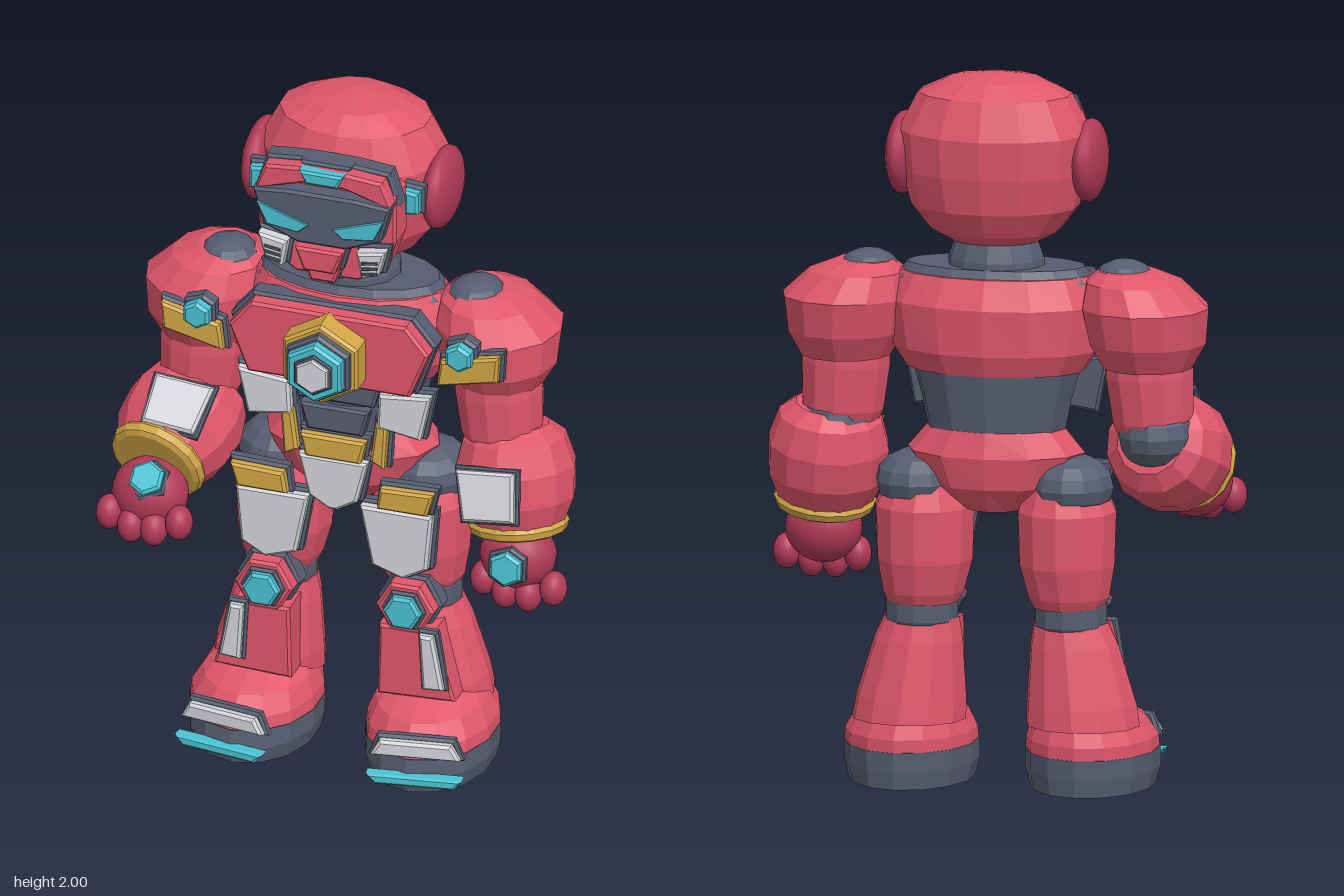
import * as THREE from 'three';

const mat = (name, color) => Object.assign(new THREE.MeshStandardMaterial({ color }), { name });
const red = mat('red', 0xe0566a), crimson = mat('crimson', 0xb23a58), slate = mat('slate', 0x565d70);
const white = mat('white', 0xd3d5d9), gold = mat('gold', 0xd2a746), cyan = mat('cyan', 0x4bc2d2);
const V = (x, y, z) => new THREE.Vector3(x, y, z);

export function createModel() {
  const root = new THREE.Group();
  root.name = 'robot';

  const add = (name, geo, material, parent = root) => {
    const mesh = new THREE.Mesh(geo, material);
    mesh.name = name;
    parent.add(mesh);
    return mesh;
  };
  const facet = (geo) => {
    const g = geo.index ? geo.toNonIndexed() : geo;
    g.computeVertexNormals();
    return g;
  };
  // Faceted body through rings [y, rx, rz, cx, cz], listed bottom to top and capped
  const loftGeo = (rings, sides) => {
    const last = rings.length - 1;
    const pts = [new THREE.Vector2(0, 0), ...rings.map((_, i) => new THREE.Vector2(1, i)), new THREE.Vector2(0, last)];
    const geo = new THREE.LatheGeometry(pts, sides), p = geo.attributes.position;
    for (let i = 0; i < p.count; i++) {
      const [y, rx, rz, cx = 0, cz = 0] = rings[Math.round(p.getY(i))];
      p.setXYZ(i, p.getX(i) * rx + cx, y, p.getZ(i) * rz + cz);
    }
    return facet(geo);
  };
  const loft = (name, rings, material, sides = 12) => add(name, loftGeo(rings, sides), material);
  // Faceted limb between two points, profile of [t, radius]
  const limb = (name, a, b, profile, material, sides = 12) => {
    const dir = b.clone().sub(a), len = dir.length();
    const mesh = add(name, loftGeo(profile.map(([t, r]) => [t * len, r, r]), sides), material);
    mesh.position.copy(a);
    mesh.quaternion.setFromUnitVectors(V(0, 1, 0), dir.normalize());
    return mesh;
  };
  const ball = (name, c, r, material, flat = false) => {
    let geo = new THREE.SphereGeometry(1, flat ? 12 : 20, flat ? 8 : 14);
    geo.scale(r.x, r.y, r.z);
    if (flat) geo = facet(geo);
    add(name, geo, material).position.copy(c);
  };
  // Bevelled armour plate facing +z from z to z + d, with an optional slate rim behind it
  const plate = (name, pts, z, d, material, rim = false, parent = root) => {
    const build = (points, depth, z0) => {
      const b = Math.min(0.008, depth / 4);
      const geo = new THREE.ExtrudeGeometry(new THREE.Shape(points.map(([x, y]) => new THREE.Vector2(x, y))),
        { depth: depth - 2 * b, bevelThickness: b, bevelSize: b, bevelOffset: -b, bevelSegments: 1 });
      return facet(geo.translate(0, 0, z0 + b));
    };
    add(name, build(pts, d, z), material, parent);
    if (rim) {
      const n = pts.length;
      const cx = pts.reduce((s, p) => s + p[0], 0) / n, cy = pts.reduce((s, p) => s + p[1], 0) / n;
      const grown = pts.map(([x, y]) => [x + Math.sign(x - cx) * 0.009, y + Math.sign(y - cy) * 0.009]);
      add(name + 'Rim', build(grown, d * 0.7, z - d * 0.2), slate, parent);
    }
  };
  const both = (half) => [...half, ...half.map(([x, y]) => [-x, y]).reverse()];
  const hex = (r, cx = 0, cy = 0, turn = 0) => Array.from({ length: 6 }, (_, i) => {
    const a = i * Math.PI / 3 + turn;
    return [cx + r * Math.cos(a), cy + r * Math.sin(a)];
  });
  const facing = (name, c, normal) => {
    const g = new THREE.Group();
    g.name = name;
    g.position.copy(c);
    g.lookAt(c.clone().add(normal));
    root.add(g);
    return g;
  };

  // Head and neck
  loft('head', [[1.53, .12, .1, 0, -.11], [1.56, .18, .145, 0, -.11], [1.63, .235, .18, 0, -.115], [1.73, .262, .197, 0, -.118],
    [1.84, .27, .203, 0, -.12], [1.945, .215, .165, 0, -.12], [1.985, .13, .11, 0, -.12], [2, .03, .03, 0, -.12]], red, 14);
  loft('neck', [[1.42, .14, .125, 0, -.1], [1.48, .135, .122, 0, -.1], [1.55, .11, .1, 0, -.1]], slate);

  // Face
  plate('faceFrame', both([[.13, 1.87], [.2, 1.83], [.2, 1.69], [.17, 1.6], [.09, 1.55]]), .03, .1, red);
  plate('visor', both([[.1, 1.83], [.2, 1.82], [.17, 1.71], [.07, 1.67]]), .12, .06, slate);
  plate('brow', both([[.06, 1.85], [.2, 1.81], [.17, 1.89], [.06, 1.9]]), .08, .085, red, true);
  plate('foreheadGem', both([[.045, 1.86], [.065, 1.9]]), .1, .085, cyan, true);
  plate('noseGuard', both([[.045, 1.6], [.07, 1.67]]), .11, .095, red, true);
  plate('chin', both([[.035, 1.555], [.05, 1.605]]), .09, .085, red, true);
  for (const s of [1, -1]) {
    const m = (pts) => pts.map(([x, y]) => [x * s, y]);
    plate('eye', m([[.035, 1.735], [.185, 1.785], [.155, 1.72], [.065, 1.708]]), .18, .009, cyan);
    plate('cheekGrille', m([[.1, 1.665], [.185, 1.68], [.165, 1.605], [.115, 1.585]]), .11, .07, white, true);
    for (let i = 0; i < 3; i++)
      plate('grilleSlot', m([[.117, 1.643 - i * .017], [.165, 1.65 - i * .017], [.163, 1.641 - i * .017], [.117, 1.634 - i * .017]]), .178, .006, slate);
    plate('templeLight', m([[.205, 1.75], [.245, 1.755], [.245, 1.82], [.205, 1.825]]), .02, .055, cyan, true);
    ball('ear', V(s * .262, 1.76, -.095), V(.047, .115, .13), crimson);
  }

  // Torso
  loft('collar', [[1.42, .28, .15, 0, -.1], [1.462, .25, .125, 0, -.1]], slate, 16);
  loft('chest', [[1.17, .25, .16, 0, -.1], [1.23, .29, .185, 0, -.1], [1.36, .31, .19, 0, -.1], [1.44, .27, .15, 0, -.1]], red, 14);
  loft('waist', [[.98, .19, .14, 0, -.1], [1.08, .21, .15, 0, -.1], [1.19, .24, .162, 0, -.1]], slate);
  loft('pelvis', [[.78, .09, .1, 0, -.1], [.85, .2, .15, 0, -.1], [.94, .25, .165, 0, -.1], [1.01, .19, .145, 0, -.1]], red);
  plate('chestPlate', both([[.235, 1.2], [.29, 1.34], [.225, 1.42]]), .03, .09, red, true);
  plate('abdomenPlate', both([[.08, 1.02], [.1, 1.1]]), 0, .07, slate);
  plate('abdomenUpperPlate', both([[.11, 1.11], [.13, 1.18]]), 0, .06, slate);
  plate('beltPlate', both([[.08, .94], [.095, 1.01]]), .03, .055, gold, true);
  plate('crotchPlate', both([[.012, .785], [.07, .82], [.1, .945]]), .03, .055, white, true);

  // Chest emblem, a stack of hexagons
  [['emblemRing', .125, .1, .09, gold], ['emblemBase', .105, .18, .035, slate], ['emblemGem', .09, .2, .045, cyan],
    ['emblemInner', .063, .24, .012, slate], ['emblemCore', .053, .245, .018, white]]
    .forEach(([name, r, z, d, m]) => plate(name, hex(r, 0, 1.3, Math.PI / 6), z, d, m));

  for (const s of [1, -1]) {
    const m = (pts) => pts.map(([x, y]) => [x * s, y]);
    // Torso side armour
    plate('ribPlate', m([[.13, 1.165], [.28, 1.18], [.25, 1.04], [.125, 1.06]]), .02, .055, white, true);
    plate('beltStrap', m([[.12, 1.07], [.155, 1.07], [.145, .93], [.105, .95]]), .02, .055, gold, true);

    // Shoulder and upper arm
    const x = s * .42;
    loft('shoulder', [[1.19, .125, .13, s * .425, -.1], [1.26, .165, .17, s * .425, -.1], [1.36, .18, .18, s * .42, -.11],
      [1.43, .135, .14, s * .39, -.11], [1.46, .08, .085, s * .37, -.11]], red);
    ball('shoulderCap', V(s * .36, 1.43, -.1), V(.085, .058, .09), slate, true);
    plate('shoulderPlate', m([[.31, 1.245], [.485, 1.285], [.49, 1.365], [.32, 1.325]]), .06, .05, gold, true);
    plate('shoulderGem', hex(.042, s * .38, 1.355, Math.PI / 6), .07, .065, cyan, true);
    limb('upperArm', V(s * .44, 1, -.085), V(x, 1.28, -.09), [[0, .1], [.15, .115], [.6, .125], [1, .12]], red);
    ball('elbow', V(s * .45, 1.0, -.1), V(.108, .1, .108), slate, true);

    // Hip and thigh
    ball('hipJoint', V(s * .215, .85, -.12), V(.12, .09, .125), slate, true);
    loft('thigh', [[.51, .1, .1, s * .205, -.11], [.54, .115, .115, s * .205, -.11], [.63, .135, .138, s * .2, -.11],
      [.78, .14, .142, s * .2, -.11], [.85, .11, .115, s * .195, -.11]], red);
    plate('hipPlate', m([[.13, .815], [.275, .815], [.295, .885], [.14, .88]]), .04, .055, gold, true);
    plate('thighPlate', m([[.075, .805], [.285, .805], [.27, .635], [.2, .595], [.11, .625]]), .02, .055, white, true);

    // Knee and shin
    loft('kneeJoint', [[.44, .09, .09, s * .21, -.105], [.46, .102, .102, s * .21, -.105], [.52, .102, .102, s * .21, -.105],
      [.54, .09, .09, s * .21, -.105]], slate);
    plate('kneeGuard', hex(.085, s * .205, .5), -.02, .09, red, true);
    plate('kneeGem', hex(.055, s * .205, .5), .06, .04, cyan, true);
    loft('shin', [[.18, .16, .145, s * .245, -.105], [.24, .155, .142, s * .24, -.1], [.4, .125, .115, s * .22, -.1],
      [.465, .105, .1, s * .21, -.1]], red);
    plate('shinGuard', m([[.13, .44], [.29, .44], [.35, .23], [.125, .22]]), -.04, .11, red);
    plate('shinPlate', m([[.255, .44], [.295, .44], [.325, .275], [.265, .27]]), .06, .04, white, true);

    // Foot
    loft('foot', [[.1, .183, .23, s * .255, -.03], [.14, .18, .225, s * .255, -.035], [.19, .155, .195, s * .25, -.045],
      [.235, .12, .13, s * .245, -.09]], red, 14);
    loft('sole', [[0, .172, .225, s * .255, -.03], [.05, .184, .236, s * .255, -.025], [.105, .184, .232, s * .255, -.03]], slate, 14);
    const toe = facing('toeArmour', V(s * .275, 0, .165), V(s * .15, 0, 1));
    plate('toePlate', both([[.125, .115], [.1, .162]]), 0, .045, white, true, toe);
    plate('toeStrip', both([[.11, .035], [.135, .065]]), .02, .045, cyan, false, toe);
  }

  // Forearms and hands: the left arm hangs, the right one reaches forward
  const arms = [
    { s: 1, elbow: V(.465, 1.05, -.1), wrist: V(.497, .76, -.045), palm: V(.505, .685, -.02), finger: V(.515, .595, .015),
      gem: V(.505, .69, .065), gemN: V(0, .1, 1), cuff: V(.455, .915, .085), cuffN: V(-.05, .3, 1) },
    { s: -1, elbow: V(-.44, .99, -.13), wrist: V(-.49, .88, .14), palm: V(-.49, .815, .195), finger: V(-.487, .755, .265),
      gem: V(-.482, .87, .235), gemN: V(0, .8, .7), cuff: V(-.44, 1.04, .1), cuffN: V(.05, .7, .7) },
  ];
  for (const a of arms) {
    limb('forearm', a.elbow, a.wrist, [[0, .1], [.12, .145], [.4, .17], [.7, .165], [1, .125]], red);
    const dir = a.wrist.clone().sub(a.elbow).normalize();
    limb('wristBand', a.wrist.clone().addScaledVector(dir, -.025), a.wrist.clone().addScaledVector(dir, .015),
      [[0, .135], [.3, .142], [.8, .135], [1, .12]], gold, 16);
    ball('hand', a.palm, V(.108, .1, .095), crimson);
    for (let i = 0; i < 4; i++) {
      const u = i - 1.5;
      ball('finger', a.finger.clone().add(V(u * .067, Math.abs(u) > 1 ? .012 : -.01, Math.abs(u) > 1 ? -.01 : .005)), V(.038, .05, .045), crimson);
    }
    plate('handGem', hex(.052, 0, 0, Math.PI / 6), 0, .035, cyan, true, facing('handGemMount', a.gem, a.gemN));
    plate('cuffPlate', [[-.095, .06], [.075, .08], [.09, -.06], [-.06, -.08]].map(([x, y]) => [x * a.s, y]), 0, .035, white, true,
      facing('cuffMount', a.cuff, a.cuffN));
  }
  return root;
}
